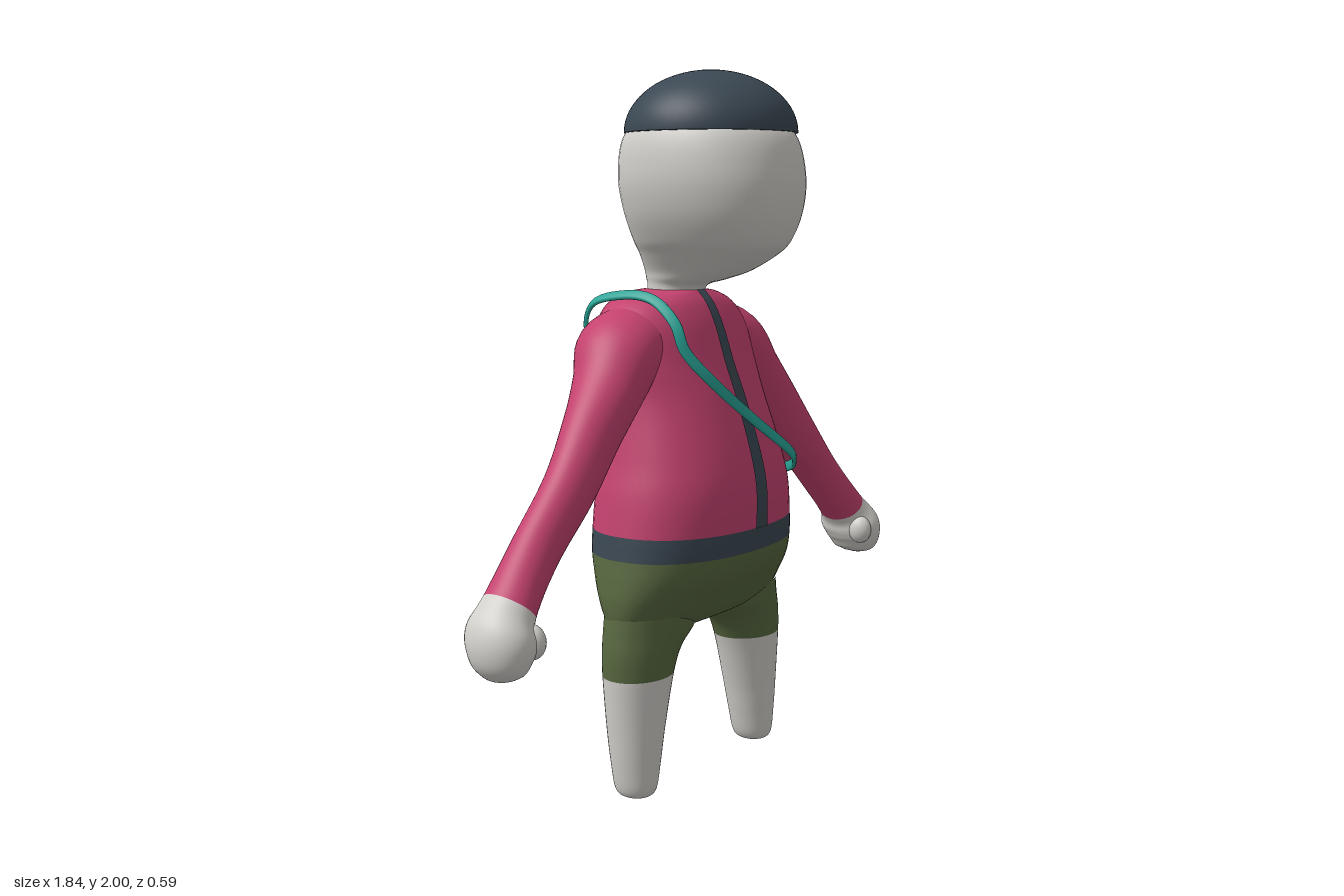
import * as THREE from 'three';
import { RoundedBoxGeometry } from 'three/addons/geometries/RoundedBoxGeometry.js';

const STEPS = 6; // samples between two key rows

const makeMaterial = (name, color) => {
  const m = new THREE.MeshStandardMaterial({ color });
  m.name = name;
  return m;
};

// Catmull-Rom resampling of rows of numbers
function smooth(rows) {
  const out = [];
  const at = (i) => rows[Math.min(Math.max(i, 0), rows.length - 1)];
  for (let i = 0; i < rows.length - 1; i++) {
    for (let k = 0; k < STEPS; k++) {
      const t = k / STEPS;
      out.push(rows[i].map((_, c) => {
        const [a, b, d, e] = [at(i - 1)[c], at(i)[c], at(i + 1)[c], at(i + 2)[c]];
        return b + 0.5 * t * (d - a + t * (2 * a - 5 * b + 4 * d - e + t * (3 * (b - d) + e - a)));
      }));
    }
  }
  out.push(rows[rows.length - 1]);
  return out;
}

// Skin over cross-sections [x, y, z, radiusU, radiusV], from key row `from` to key row `to`
function loft(rows, { from = 0, to = rows.length - 1, flat = false, power = 2, segs = 40, side } = {}) {
  const s = smooth(rows);
  const pos = [], index = [];
  const centre = (i) => new THREE.Vector3(...s[Math.min(Math.max(i, 0), s.length - 1)].slice(0, 3));
  const bend = (c) => Math.sign(c) * Math.abs(c) ** (2 / power);
  const first = from * STEPS, last = to * STEPS;
  for (let i = first; i <= last; i++) {
    const p = centre(i);
    const tangent = flat ? new THREE.Vector3(0, 1, 0) : centre(i + 1).sub(centre(i - 1)).normalize();
    const v = side ? side(p) : new THREE.Vector3(0, 0, -1);
    const u = v.clone().cross(tangent).normalize();
    for (let j = 0; j < segs; j++) {
      const a = (j / segs) * Math.PI * 2;
      const q = p.clone().addScaledVector(u, s[i][3] * bend(Math.cos(a)))
        .addScaledVector(v, s[i][4] * bend(Math.sin(a)));
      pos.push(q.x, q.y, q.z);
      if (i < last) {
        const r = (i - first) * segs, n = (j + 1) % segs;
        index.push(r + j, r + n, r + segs + n, r + j, r + segs + n, r + segs + j);
      }
    }
  }
  const g = new THREE.BufferGeometry();
  g.setAttribute('position', new THREE.Float32BufferAttribute(pos, 3));
  g.setIndex(index);
  g.computeVertexNormals();
  return g;
}

// [y, half width, front z, back z] to a loft row
const upright = ([y, rx, zf, zb]) => [0, y, (zf + zb) / 2, rx, (zf - zb) / 2];

export function createModel() {
  const model = new THREE.Group();
  model.name = 'figure';
  const skin = makeMaterial('pale skin', 0xd2d0cb);
  const pink = makeMaterial('raspberry jacket', 0xc4426f);
  const green = makeMaterial('olive shorts', 0x586840);
  const slate = makeMaterial('dark slate', 0x3b4853);
  const teal = makeMaterial('teal', 0x29a698);

  const add = (name, geometry, material, x = 0, y = 0, z = 0) => {
    const m = new THREE.Mesh(geometry, material);
    m.name = name;
    m.position.set(x, y, z);
    model.add(m);
    return m;
  };

  // Body: pelvis, hem band and jacket share one profile
  const profile = [
    [0.44, 0.02, -0.03, -0.05], [0.45, 0.2, 0.0, -0.085], [0.47, 0.32, 0.045, -0.125],
    [0.5, 0.355, 0.08, -0.165], [0.56, 0.362, 0.125, -0.21], [0.62, 0.355, 0.165, -0.245],
    [0.68, 0.345, 0.185, -0.268], [0.745, 0.337, 0.19, -0.272], [0.85, 0.32, 0.19, -0.272],
    [0.95, 0.295, 0.17, -0.268], [1.1, 0.268, 0.12, -0.27], [1.2, 0.272, 0.08, -0.275],
    [1.3, 0.265, 0.045, -0.275], [1.36, 0.22, 0.015, -0.26], [1.39, 0.15, -0.01, -0.23],
    [1.4, 0.07, -0.02, -0.19],
  ];
  const body = profile.map(upright);
  const bodyShape = { flat: true, power: 2.25, segs: 56 };
  add('shortsHips', loft(body, { ...bodyShape, to: 6 }), green);
  add('jacketHem', loft(body, { ...bodyShape, from: 6, to: 7 }), slate);
  add('jacketBody', loft(body, { ...bodyShape, from: 7 }), pink);

  // Zip: thin strip following the chest
  const chest = smooth(profile).slice(7 * STEPS);
  const zip = new THREE.PlaneGeometry(1, 1, 1, chest.length - 1);
  const zp = zip.attributes.position;
  chest.forEach(([y, , zf], i) => {
    const half = 0.018 + 0.01 * (1.4 - y) / 0.65;
    const row = 2 * (chest.length - 1 - i);
    zp.setXYZ(row, -half, y, zf + 0.005);
    zp.setXYZ(row + 1, half, y, zf + 0.005);
  });
  zip.computeVertexNormals();
  add('jacketZip', zip, slate);

  // Head and neck
  const head = [
    [1.37, 0.075, -0.02, -0.185], [1.41, 0.075, -0.01, -0.185], [1.43, 0.085, 0.06, -0.19],
    [1.455, 0.1, 0.14, -0.195], [1.5, 0.138, 0.22, -0.203], [1.54, 0.172, 0.258, -0.215],
    [1.62, 0.212, 0.284, -0.234], [1.72, 0.23, 0.287, -0.245], [1.83, 0.212, 0.252, -0.222],
    [1.9, 0.14, 0.15, -0.12], [1.94, 0.001, 0.021, 0.019],
  ].map(upright);
  add('head', loft(head, { flat: true, power: 2.15, segs: 48 }), skin);

  // Domed hat with a flat underside
  const dome = new THREE.SphereGeometry(1, 56, 18, 0, Math.PI * 2, 0, Math.PI / 2).scale(0.24, 0.17, 0.24);
  add('hatDome', dome, slate, 0, 1.83, 0.02);
  add('hatUnderside', new THREE.CircleGeometry(0.24, 56).rotateX(Math.PI / 2), slate, 0, 1.83, 0.02);

  // Limbs, mirrored
  const arm = [
    [0.14, 1.27, -0.125, 0.1, 0.12], [0.25, 1.23, -0.112, 0.11, 0.13], [0.33, 1.145, -0.085, 0.095, 0.105],
    [0.43, 1.04, -0.06, 0.085, 0.08], [0.545, 0.91, -0.04, 0.076, 0.067], [0.68, 0.775, -0.035, 0.068, 0.064],
    [0.795, 0.655, -0.02, 0.065, 0.076], [0.835, 0.598, -0.01, 0.076, 0.1], [0.848, 0.55, -0.003, 0.071, 0.092],
    [0.848, 0.51, 0.0, 0.05, 0.07], [0.846, 0.494, 0.0, 0.025, 0.035], [0.845, 0.49, 0.0, 0.001, 0.001],
  ];
  const leg = [
    [0.29, 0, -0.03, 0.001, 0.001], [0.29, 0.004, -0.03, 0.03, 0.035], [0.289, 0.025, -0.03, 0.054, 0.06],
    [0.286, 0.1, -0.032, 0.07, 0.07], [0.28, 0.2, -0.035, 0.085, 0.08], [0.265, 0.35, -0.037, 0.11, 0.093],
    [0.245, 0.42, -0.038, 0.13, 0.099], [0.21, 0.47, -0.04, 0.158, 0.108], [0.2, 0.52, -0.04, 0.16, 0.11],
  ];
  for (const [sideName, s] of [['left', 1], ['right', -1]]) {
    const mirror = (rows) => rows.map(([x, ...rest]) => [s * x, ...rest]);
    add(sideName + 'Sleeve', loft(mirror(arm), { to: 6 }), pink);
    add(sideName + 'Hand', loft(mirror(arm), { from: 6 }), skin);
    const thumb = new THREE.SphereGeometry(1, 20, 14).scale(0.032, 0.045, 0.04);
    add(sideName + 'Thumb', thumb, skin, s * 0.795, 0.58, 0.052);
    add(sideName + 'Leg', loft(mirror(leg), { flat: true, to: 5 }), skin);
    add(sideName + 'ShortsLeg', loft(mirror(leg), { flat: true, from: 5 }), green);
  }

  // Cross-body strap: flat band from bag front, over the right shoulder, to bag back
  const strap = [
    [0.365, 0.83, -0.04], [0.35, 0.835, -0.005], [0.3, 0.86, 0.075], [0.24, 0.89, 0.145], [0.14, 0.945, 0.195],
    [0, 1.05, 0.16], [-0.12, 1.145, 0.13], [-0.19, 1.24, 0.075], [-0.202, 1.32, 0.045], [-0.2, 1.38, -0.03],
    [-0.2, 1.39, -0.13], [-0.2, 1.36, -0.245], [-0.185, 1.26, -0.275], [-0.05, 1.08, -0.288],
    [0.13, 0.96, -0.278], [0.25, 0.89, -0.242], [0.35, 0.84, -0.185], [0.37, 0.83, -0.16],
  ].map((p) => [...p, 0.015, 0.007]);
  const outward = (p) => new THREE.Vector3(p.x, p.y - Math.min(p.y, 1.2), p.z + 0.07).normalize();
  add('bagStrap', loft(strap, { side: outward, power: 3, segs: 12 }), teal);

  // Shoulder bag with dark flap
  add('bag', new RoundedBoxGeometry(0.06, 0.225, 0.17, 4, 0.022), teal, 0.37, 0.727, -0.105);
  add('bagFlap', new RoundedBoxGeometry(0.02, 0.068, 0.156, 3, 0.008), slate, 0.404, 0.793, -0.105);

  return model;
}
